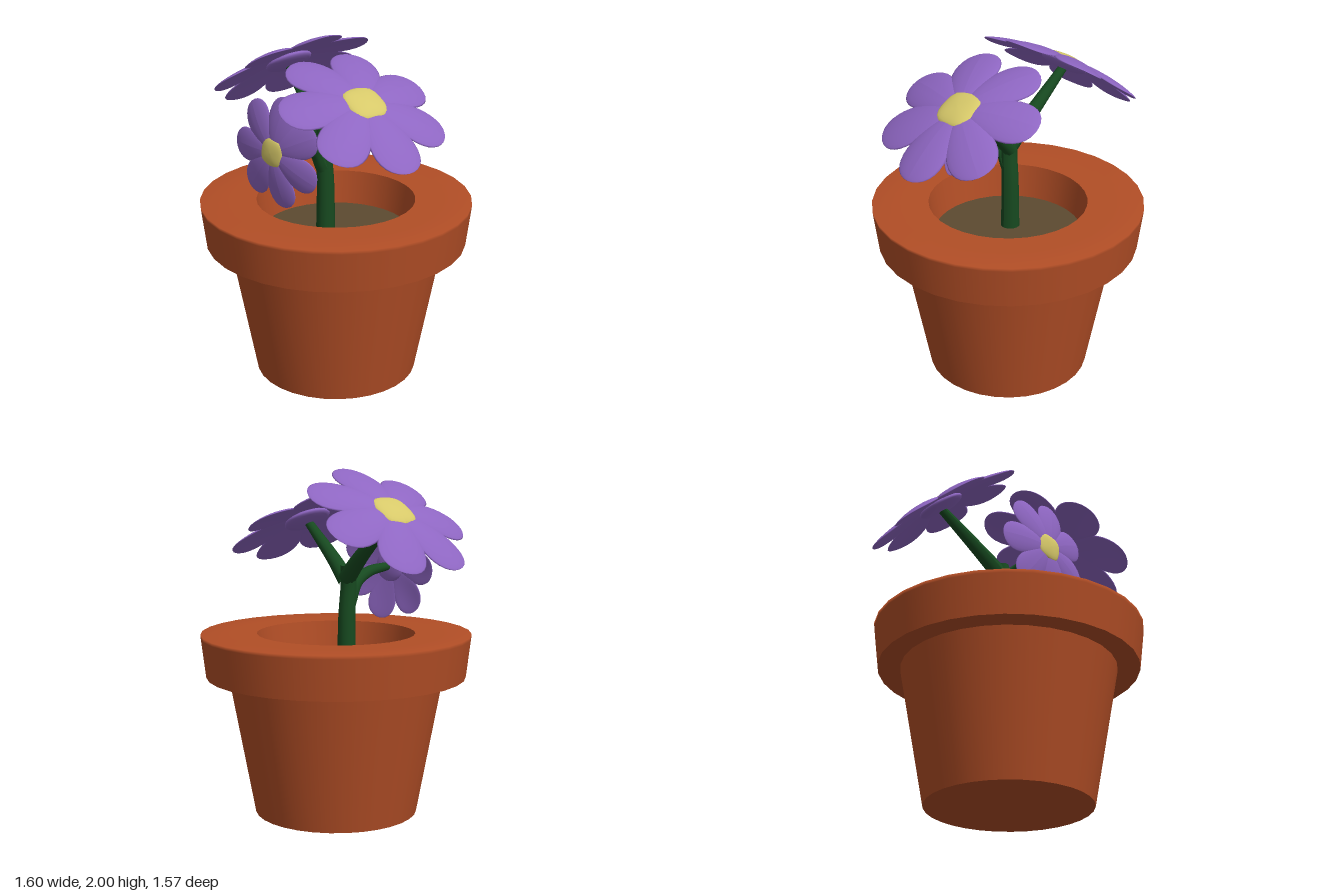
import * as THREE from 'three';

const mat = (color, side = THREE.FrontSide) => new THREE.MeshStandardMaterial({ color, side });
const terracotta = mat(0xb24e26, THREE.DoubleSide);
const soilBrown = mat(0x5c4a30);
const green = mat(0x174a20);
const purple = mat(0x8e66c2);
const yellow = mat(0xd6c869);

function add(parent, name, geometry, material) {
  const mesh = new THREE.Mesh(geometry, material);
  mesh.name = name;
  parent.add(mesh);
  return mesh;
}

const lathe = (pts) => new THREE.LatheGeometry(pts.map(([r, y]) => new THREE.Vector2(r, y)), 32);

// Move every vertex of a geometry by a rule
function reshape(geometry, rule) {
  const p = geometry.attributes.position;
  const v = new THREE.Vector3();
  for (let i = 0; i < p.count; i++) {
    rule(v.fromBufferAttribute(p, i));
    p.setXYZ(i, v.x, v.y, v.z);
  }
  geometry.computeVertexNormals();
  return geometry;
}

// Petal along +x: narrow root, broad rounded tip, arched backwards
function petalGeometry() {
  const g = new THREE.SphereGeometry(1, 20, 16).rotateZ(-Math.PI / 2);
  return reshape(g, (v) => {
    const t = v.x;
    const r = 0.27 + 0.21 * t;
    const z = v.z * (0.137 + 0.043 * t);
    v.set(r, v.y * 0.014 - 0.3 * r * r - 0.9 * z * z + 0.01, z);
  });
}

// Flattened dome with a slightly square outline
function centreGeometry() {
  return reshape(new THREE.SphereGeometry(1, 24, 12), (v) => {
    const round = Math.hypot(v.x, v.z);
    const square = Math.pow(v.x ** 4 + v.z ** 4, 0.25);
    const k = round > 1e-5 ? 0.118 * (0.4 + 0.6 * round / square) : 0.118;
    v.set(v.x * k, v.y * 0.03 + 0.005, v.z * k);
  });
}

const petalShape = petalGeometry();
const centreShape = centreGeometry();
const calyxShape = new THREE.SphereGeometry(1, 24, 12).scale(0.14, 0.035, 0.14).translate(0, -0.015, 0);

function makeFlower(name, position, normal, scale, startAngle) {
  const flower = new THREE.Group();
  flower.name = name;
  for (let i = 0; i < 7; i++) {
    add(flower, 'petal', petalShape, purple).rotation.y = startAngle + (i * Math.PI * 2) / 7;
  }
  add(flower, 'flowerCentre', centreShape, yellow);
  add(flower, 'calyx', calyxShape, purple);
  flower.position.set(...position);
  flower.scale.setScalar(scale);
  flower.quaternion.setFromUnitVectors(new THREE.Vector3(0, 1, 0), new THREE.Vector3(...normal).normalize());
  return flower;
}

// Tube along a curve whose radius runs from r0 to r1
function taperedTube(points, r0, r1) {
  const curve = new THREE.CatmullRomCurve3(points.map((p) => new THREE.Vector3(...p)));
  const rings = 20, sides = 12;
  const g = new THREE.TubeGeometry(curve, rings, 1, sides);
  let i = 0;
  return reshape(g, (v) => {
    const t = Math.floor(i++ / (sides + 1)) / rings;
    const c = curve.getPointAt(t);
    v.sub(c).multiplyScalar(r0 + (r1 - r0) * t).add(c);
  });
}

export function createModel() {
  const model = new THREE.Group();
  model.name = 'pottedFlowers';

  // Pot, a little off the centre line
  const pot = new THREE.Group();
  pot.name = 'pot';
  pot.position.x = 0.02;
  model.add(pot);
  add(pot, 'potBody', lathe([[0.475, 0], [0.625, 0.81]]), terracotta);
  add(pot, 'potBase', new THREE.CircleGeometry(0.475, 32).rotateX(Math.PI / 2), terracotta);
  add(pot, 'rimUnderside', lathe([[0.62, 0.81], [0.755, 0.81]]), terracotta);
  add(pot, 'rim', lathe([[0.755, 0.81], [0.783, 1.04], [0.785, 1.06], [0.62, 1.06], [0.46, 1.06]]), terracotta);
  add(pot, 'innerWall', lathe([[0.46, 1.06], [0.43, 0.85]]), terracotta);
  const soil = add(pot, 'soil', new THREE.CircleGeometry(0.435, 32).rotateX(-Math.PI / 2), soilBrown);
  soil.position.y = 0.86;

  // Stem with three branches
  const stems = new THREE.Group();
  stems.name = 'stems';
  model.add(stems);
  add(stems, 'stem', taperedTube([[-0.035, 0.84, 0.035], [-0.035, 1.15, 0.035], [-0.04, 1.36, 0.045], [-0.05, 1.46, 0.03]], 0.056, 0.045), green);
  add(stems, 'leftBranch', taperedTube([[-0.035, 1.36, 0.035], [0.07, 1.47, 0.035], [0.33, 1.68, 0.05]], 0.05, 0.026), green);
  add(stems, 'rightBranch', taperedTube([[-0.035, 1.38, 0.035], [-0.17, 1.51, 0.02], [-0.45, 1.75, 0]], 0.052, 0.026), green);
  add(stems, 'frontBranch', taperedTube([[-0.035, 1.24, 0.05], [-0.03, 1.35, 0.11], [-0.01, 1.4, 0.22], [0.02, 1.42, 0.41]], 0.045, 0.024), green);

  // Flowers
  model.add(
    makeFlower('rightFlower', [-0.46, 1.78, 0], [-0.565, 0.825, 0], 1, 0),
    makeFlower('leftFlower', [0.35, 1.71, 0.05], [0.48, 0.877, 0], 1, 0),
    makeFlower('frontFlower', [0.02, 1.42, 0.43], [0.22, 0.05, 1], 0.67, Math.PI / 2),
  );
  return model;
}
